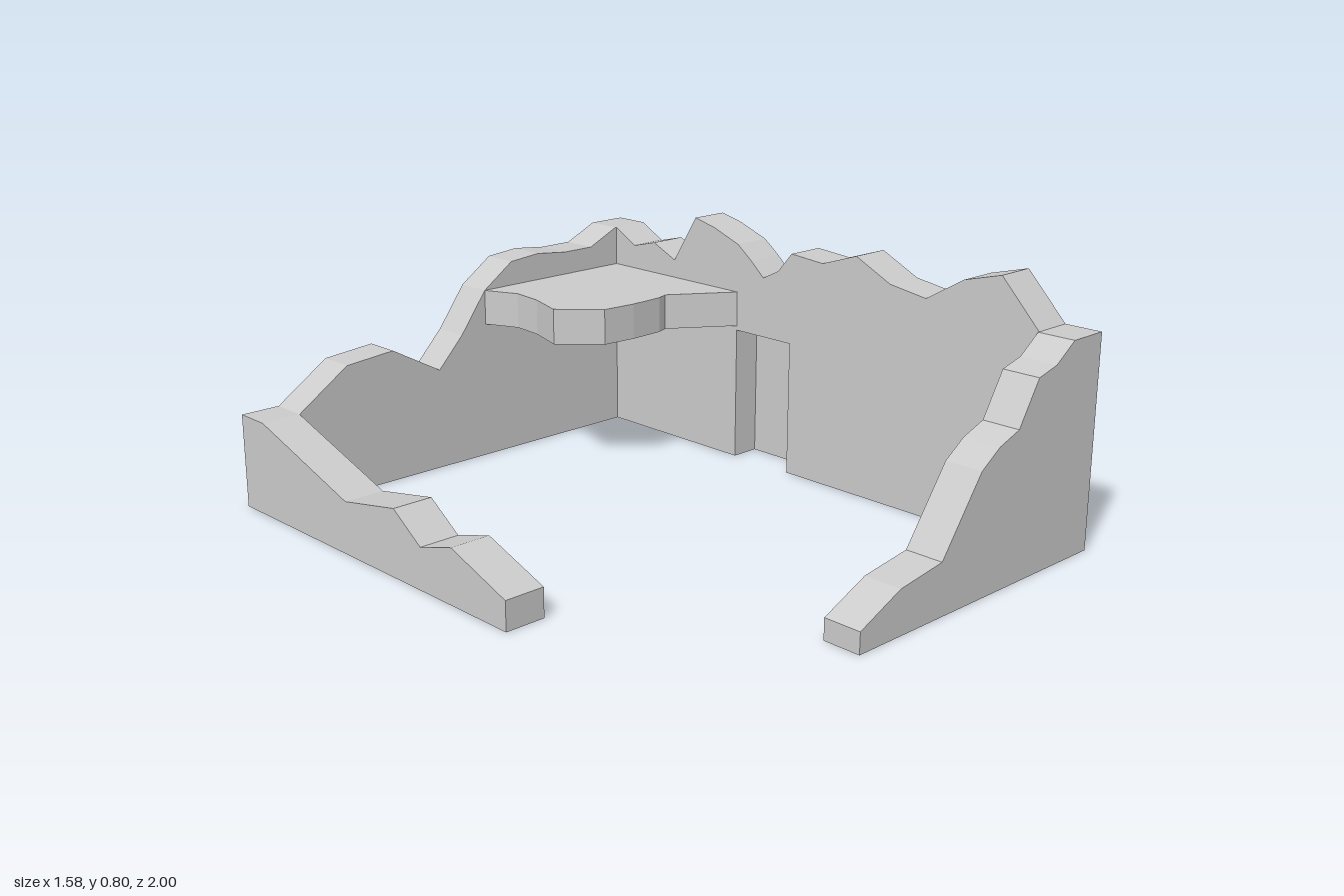
import * as THREE from 'three';

const material = new THREE.MeshStandardMaterial({ color: 0xcccccc, flatShading: true });
const THICK = 0.13;

// Extrudes a closed outline by the given depth along z
function extrude(name, points, depth) {
  const shape = new THREE.Shape(points.map(([x, y]) => new THREE.Vector2(x, y)));
  const mesh = new THREE.Mesh(new THREE.ExtrudeGeometry(shape, { depth, bevelEnabled: false }), material);
  mesh.name = name;
  return mesh;
}

// Closes a broken wall top down to the ground; notch points run along the base
function outline(top, notch = []) {
  return [[top[0][0], 0], ...top, [top[top.length - 1][0], 0], ...notch];
}

// Wall running along x
function wallX(name, top, z) {
  const wall = extrude(name, outline(top), 0.12);
  wall.position.z = z;
  return wall;
}

// Wall running along z; profile points are [z, y]
function wallZ(name, top, x, notch = []) {
  const wall = extrude(name, outline(top, notch).map(([z, y]) => [-z, y]), THICK);
  wall.rotation.y = Math.PI / 2;
  wall.position.x = x;
  return wall;
}

export function createModel() {
  const group = new THREE.Group();
  group.name = 'ruinedHouse';

  // Crumbling back and front walls, including the corners
  group.add(wallX('backWall', [
    [-0.79, 0.3], [-0.66, 0.3], [-0.48, 0.42], [-0.305, 0.435], [-0.125, 0.335], [-0.03, 0.435],
    [0.07, 0.57], [0.185, 0.65], [0.3, 0.66], [0.42, 0.647], [0.54, 0.647], [0.655, 0.7], [0.79, 0.7],
  ], -1));
  group.add(wallX('frontWall', [
    [-0.228, 0.065], [-0.07, 0.135], [0.1, 0.16], [0.255, 0.375], [0.33, 0.425], [0.415, 0.455],
    [0.495, 0.585], [0.575, 0.605], [0.655, 0.66], [0.79, 0.66],
  ], 0.88));

  // Low left wall
  group.add(wallZ('leftWall', [
    [0.278, 0.09], [0.05, 0.17], [-0.09, 0.13], [-0.21, 0.21], [-0.45, 0.165], [-0.88, 0.3],
  ], -0.79));

  // Tall right wall with a doorway cut up from its base
  group.add(wallZ('rightWall', [
    [0.88, 0.66], [0.745, 0.8], [0.615, 0.765], [0.48, 0.685], [0.345, 0.705], [0.21, 0.77],
    [0.075, 0.725], [-0.055, 0.735], [-0.11, 0.67], [-0.175, 0.637], [-0.23, 0.685], [-0.29, 0.73],
    [-0.4, 0.77], [-0.487, 0.79], [-0.587, 0.63], [-0.687, 0.675], [-0.785, 0.65], [-0.88, 0.7],
  ], 0.66, [[-0.29, 0], [-0.29, 0.44], [-0.055, 0.44], [-0.055, 0]]));

  // Thin door set slightly back from the outer face
  const door = new THREE.Mesh(new THREE.BoxGeometry(0.008, 0.44, 0.235), material);
  door.name = 'door';
  door.position.set(0.762, 0.22, -0.1725);
  group.add(door);

  // Broken piece of upper floor in the back corner, points are [x, z]
  const floor = extrude('upperFloor', [
    [0.07, -0.88], [0.12, -0.77], [0.11, -0.66], [0.07, -0.53], [0.185, -0.415],
    [0.3, -0.405], [0.42, -0.41], [0.46, -0.425], [0.66, -0.29], [0.66, -0.88],
  ].map(([x, z]) => [x, -z]), 0.115);
  floor.rotation.x = -Math.PI / 2;
  floor.position.y = 0.455;
  group.add(floor);

  return group;
}
